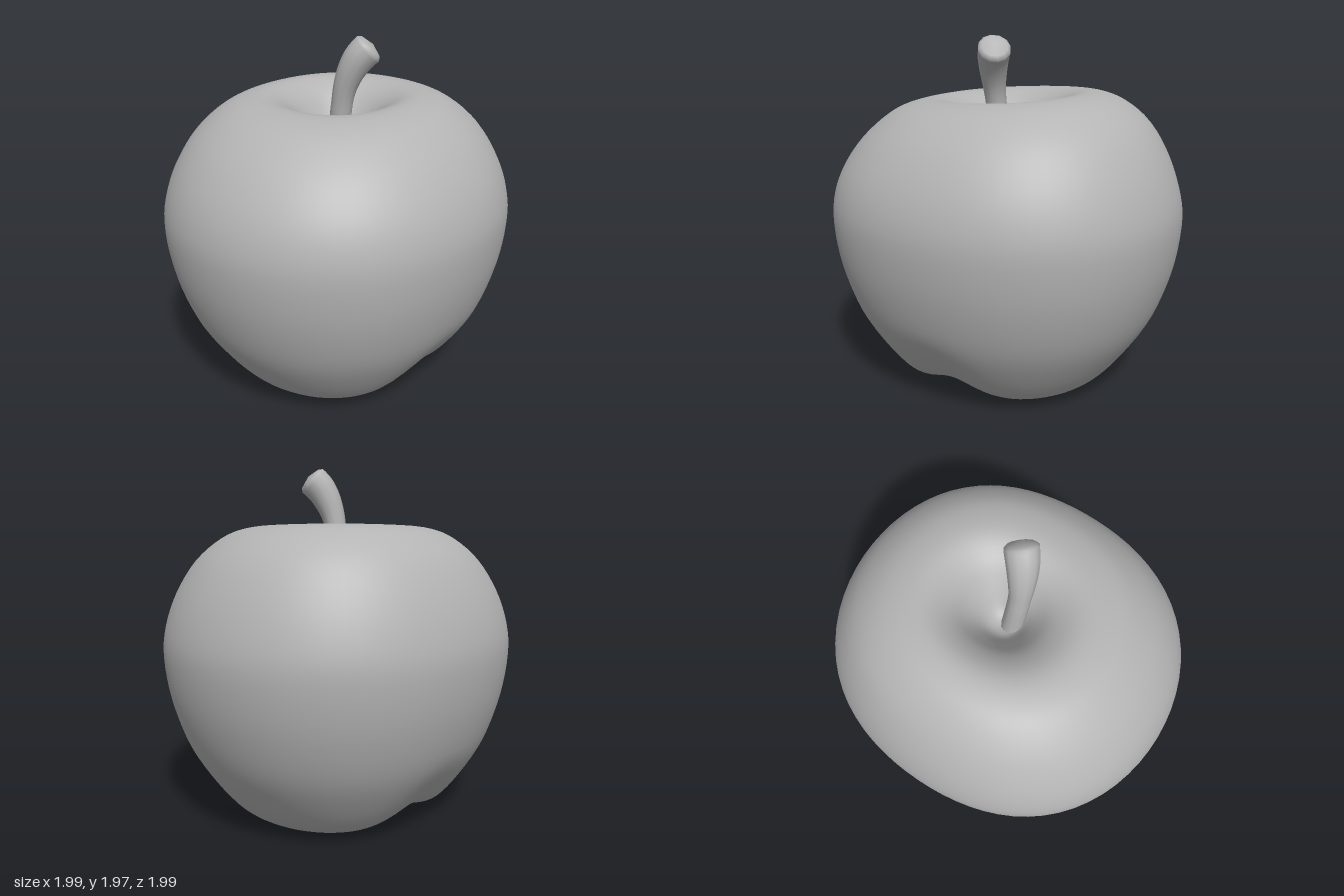
import * as THREE from 'three';
import { mergeVertices } from 'three/addons/utils/BufferGeometryUtils.js';

const grey = new THREE.MeshStandardMaterial({ color: 0xb4b4b4 });
grey.name = 'plain grey';

// Weld seams and poles so the shading is continuous
function smooth(geometry) {
  geometry.deleteAttribute('uv');
  geometry.deleteAttribute('normal');
  const welded = mergeVertices(geometry, 1e-4);
  welded.computeVertexNormals();
  return welded;
}

// Apple body: a turned profile, squared off on two opposite flanks
function makeBody() {
  const profile = new THREE.SplineCurve([
    [0, 0.13], [0.12, 0.11], [0.27, 0.04], [0.42, 0.012], [0.52, 0.035], [0.63, 0.1],
    [0.76, 0.26], [0.88, 0.46], [0.965, 0.71], [1, 0.95], [0.985, 1.12], [0.92, 1.3],
    [0.81, 1.47], [0.67, 1.59], [0.54, 1.645], [0.4, 1.655], [0.27, 1.59],
    [0.17, 1.48], [0.08, 1.36], [0, 1.33],
  ].map(([r, y]) => new THREE.Vector2(r, y)));
  const points = profile.getPoints(76);
  points.forEach((p) => { p.x = Math.max(p.x, 0); });
  points[0].x = points[points.length - 1].x = 0;

  const geometry = new THREE.LatheGeometry(points, 72);
  const pos = geometry.attributes.position;
  for (let i = 0; i < pos.count; i++) {
    let x = pos.getX(i), y = pos.getY(i), z = pos.getZ(i);
    const a = Math.atan2(z, x);
    const s = 0.977 - 0.04 * Math.sin(2 * a) + 0.013 * Math.cos(4 * a);
    x *= s;
    z *= s;
    // Shallow diagonal groove across the base
    const low = Math.max(0, 1 - y / 0.5);
    const d = (x - z) / Math.SQRT2;
    const along = Math.min(1, Math.hypot(x, z) / 0.4);
    y += 0.085 * along * low * Math.exp(-((d / 0.2) ** 2));
    // The crown is a little higher at the back
    const high = THREE.MathUtils.smoothstep(y, 1.1, 1.6);
    y -= 0.06 * z * high;
    // The hollow sits slightly behind the centre
    const r = Math.hypot(x, z);
    if (high > 0) z -= 0.05 * high * Math.max(0, 1 - r / 0.6);
    pos.setXYZ(i, x, y, z);
  }
  const body = new THREE.Mesh(smooth(geometry), grey);
  body.name = 'appleBody';
  return body;
}

// Stem: a bent tube that widens to a blunt, slanted tip
function makeStem() {
  const path = new THREE.CatmullRomCurve3([
    [0, 1.3, 0.02], [0.01, 1.6, 0.06], [0.04, 1.75, 0.08],
    [0.1, 1.87, 0.095], [0.175, 1.945, 0.1],
  ].map((p) => new THREE.Vector3(...p)));
  const rows = 40, sides = 12;
  const geometry = new THREE.TubeGeometry(path, rows, 1, sides, false);
  const pos = geometry.attributes.position;
  const v = new THREE.Vector3();
  for (let i = 0; i <= rows; i++) {
    const t = i / rows;
    const centre = path.getPointAt(t);
    const flare = 0.06 + 0.03 * THREE.MathUtils.smoothstep(t, 0.45, 0.95);
    const cap = i === rows ? 0 : i === rows - 1 ? 0.8 : 1;
    for (let j = 0; j <= sides; j++) {
      const k = i * (sides + 1) + j;
      v.fromBufferAttribute(pos, k).sub(centre).multiplyScalar(flare * cap).add(centre);
      pos.setXYZ(k, v.x, v.y, v.z);
    }
  }
  const stem = new THREE.Mesh(smooth(geometry), grey);
  stem.name = 'stem';
  return stem;
}

export function createModel() {
  const apple = new THREE.Group();
  apple.name = 'apple';
  apple.add(makeBody(), makeStem());
  return apple;
}
